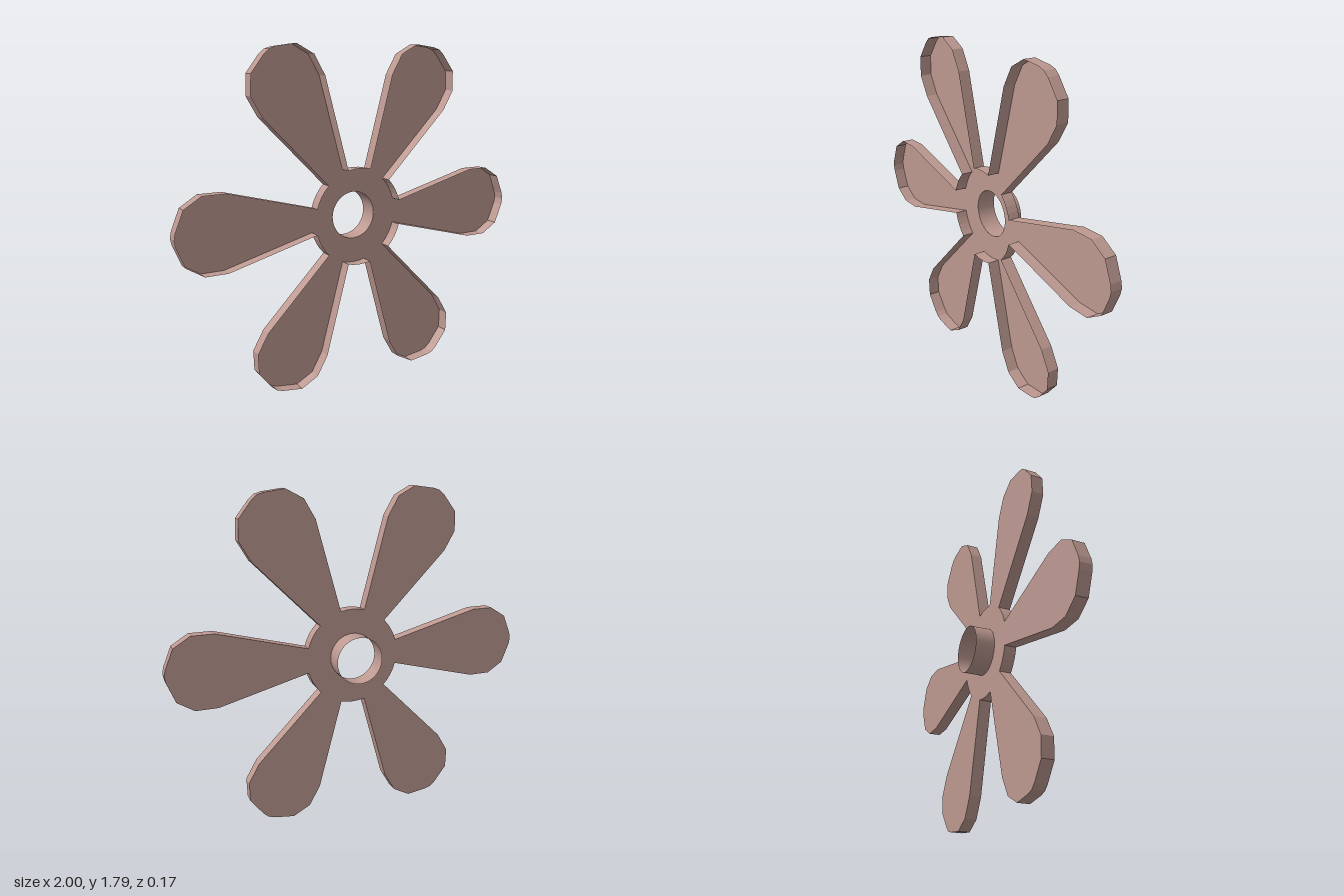
import * as THREE from 'three';

export function createModel() {
  const group = new THREE.Group();
  const clay = new THREE.MeshStandardMaterial({ color: 0xbc9890, side: THREE.DoubleSide });
  const centreY = 0.893, hubR = 0.26, boreR = 0.127;
  const backZ = 0.02, frontZ = 0.085;

  // Outline of one petal, pointing along +x
  const half = [[0.74, 0.196], [0.86, 0.196], [0.95, 0.14], [0.993, 0.035]];
  const petal = [
    ...half.map(([x, y]) => [x, -y]),
    [1, 0],
    ...half.slice().reverse(),
  ];

  // Six petals joined by short arcs of the hub rim
  const points = [];
  const rim = (deg) => {
    const a = THREE.MathUtils.degToRad(deg);
    points.push(new THREE.Vector2(hubR * Math.cos(a), hubR * Math.sin(a)));
  };
  for (let i = 0; i < 6; i++) {
    const turn = i * 60;
    rim(turn - 15);
    for (const [x, y] of petal) {
      points.push(new THREE.Vector2(x, y).rotateAround(new THREE.Vector2(), THREE.MathUtils.degToRad(turn)));
    }
    for (const deg of [15, 22.5, 30, 37.5]) rim(turn + deg);
  }
  const outline = new THREE.Shape(points);
  outline.holes.push(new THREE.Path().absarc(0, 0, boreR, 0, Math.PI * 2, true));

  const add = (name, geometry) => {
    const mesh = new THREE.Mesh(geometry, clay);
    mesh.name = name;
    mesh.position.y = centreY;
    group.add(mesh);
  };

  // Back sheet of the open-fronted petal tray
  add('petalSheet', new THREE.ShapeGeometry(outline, 48).translate(0, 0, backZ));

  // Upright wall following the outline, one flat quad per edge
  const wall = [];
  points.forEach((p, i) => {
    const q = points[(i + 1) % points.length];
    wall.push(
      p.x, p.y, backZ, q.x, q.y, backZ, q.x, q.y, frontZ,
      p.x, p.y, backZ, q.x, q.y, frontZ, p.x, p.y, frontZ);
  });
  const wallGeometry = new THREE.BufferGeometry();
  wallGeometry.setAttribute('position', new THREE.Float32BufferAttribute(wall, 3));
  wallGeometry.computeVertexNormals();
  add('petalWall', wallGeometry);

  // Thin open collar behind the bore
  const collarLength = 0.105;
  add('rearCollar', new THREE.CylinderGeometry(boreR, boreR, collarLength, 48, 1, true)
    .rotateX(Math.PI / 2).translate(0, 0, backZ - collarLength / 2));

  return group;
}
